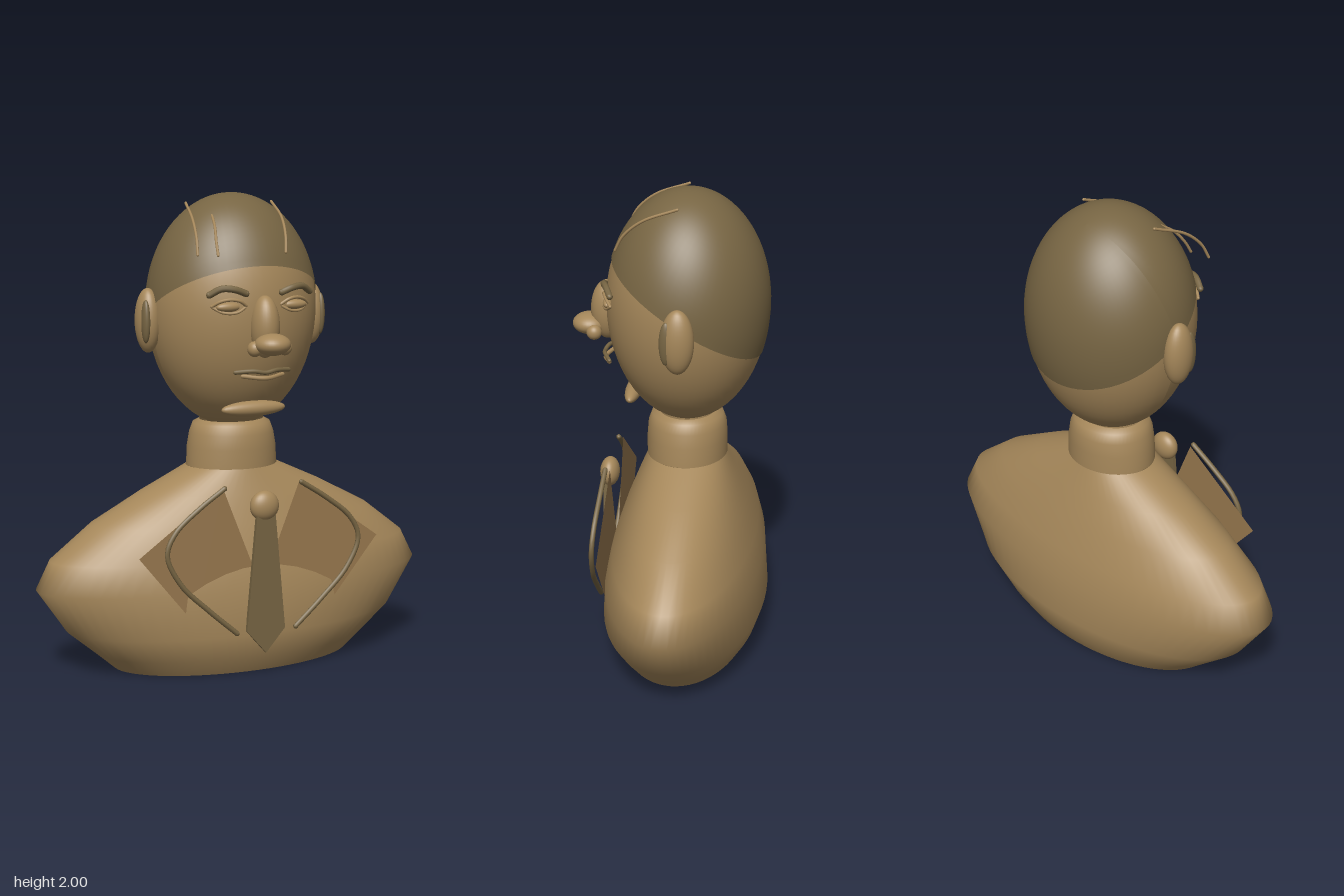
import * as THREE from 'three';
import { mergeVertices } from 'three/addons/utils/BufferGeometryUtils.js';

const CZ = -0.068; // depth of the body's axis

export function createModel() {
  const model = new THREE.Group();
  model.name = 'bust';

  const material = (name, color, side = THREE.FrontSide) => {
    const m = new THREE.MeshStandardMaterial({ color, side });
    m.name = name;
    return m;
  };
  const bronze = material('bronze', 0xa5875a, THREE.DoubleSide);
  const darkBronze = material('dark bronze', 0x776543);
  const lapelBronze = material('lapel bronze', 0x99794f, THREE.DoubleSide);

  const add = (name, geometry, mat) => {
    const mesh = new THREE.Mesh(geometry, mat);
    mesh.name = name;
    model.add(mesh);
    return mesh;
  };
  const ellipsoid = (name, [x, y, z], [rx, ry, rz], mat) => {
    const g = new THREE.SphereGeometry(1, 32, 20);
    g.scale(rx, ry, rz);
    return add(name, g.translate(x, y, z), mat);
  };
  const tube = (name, points, radius, mat) => {
    const v = points.map((p) => new THREE.Vector3(...p));
    const curve = new THREE.CatmullRomCurve3(v);
    add(name, new THREE.TubeGeometry(curve, 32, radius, 8), mat);
    // round ends
    for (const p of v.filter((_, i) => i === 0 || i === v.length - 1)) {
      add(name + 'End', new THREE.SphereGeometry(radius, 8, 6).translate(p.x, p.y, p.z), mat);
    }
  };
  // elliptical loft; each ring is [y, half width, half depth]
  const loft = (name, rings, mat) => {
    const n = rings.length - 1;
    const g = new THREE.CylinderGeometry(1, 1, 1, 64, n, true);
    const p = g.attributes.position;
    for (let i = 0; i < p.count; i++) {
      const [y, w, d] = rings[Math.round((p.getY(i) + 0.5) * n)];
      p.setXYZ(i, p.getX(i) * w, y, p.getZ(i) * d + CZ);
    }
    g.deleteAttribute('uv');
    g.deleteAttribute('normal');
    const merged = mergeVertices(g);
    merged.computeVertexNormals();
    return add(name, merged, mat);
  };
  const plate = (points) => new THREE.Shape(points.map((p) => new THREE.Vector2(...p)));

  // torso, open underneath, and neck
  loft('torso', [
    [0, 0.54, 0.275], [0.07, 0.62, 0.315], [0.18, 0.75, 0.35], [0.37, 0.88, 0.332],
    [0.49, 0.82, 0.302], [0.63, 0.64, 0.255], [0.75, 0.415, 0.207], [0.85, 0.2, 0.165],
  ], bronze);
  loft('neck', [
    [0.85, 0.198, 0.17], [0.93, 0.194, 0.17], [0.99, 0.183, 0.165],
    [1.03, 0.168, 0.15], [1.045, 0.14, 0.12],
  ], bronze);

  // egg-shaped head: longer below the middle than above
  const egg = (g, grow) => {
    const p = g.attributes.position;
    for (let i = 0; i < p.count; i++) {
      const y = p.getY(i);
      p.setXYZ(i, p.getX(i) * 0.363 * grow, 1.525 + y * (y > 0 ? 0.47 : 0.51) * grow,
        p.getZ(i) * 0.338 * grow + CZ);
    }
    g.computeVertexNormals();
    return g;
  };
  add('head', egg(new THREE.SphereGeometry(1, 48, 32), 1), bronze);

  // hair cap, tilted down towards the back
  const cap = new THREE.SphereGeometry(1, 64, 24, 0, Math.PI * 2, 0, Math.PI / 2);
  const hair = add('hair', egg(cap.rotateX(-0.41), 1.012), darkBronze.clone());
  hair.material.side = THREE.DoubleSide;
  hair.material.name = 'hair bronze';

  // loose strands
  const strands = [
    [[-0.215, 1.96, -0.045], [-0.245, 1.9, 0.1], [-0.262, 1.83, 0.18], [-0.272, 1.765, 0.215]],
    [[-0.142, 1.92, 0.055], [-0.16, 1.87, 0.13], [-0.175, 1.81, 0.18], [-0.18, 1.76, 0.21]],
    [[0.175, 1.96, -0.045], [0.155, 1.9, 0.1], [0.135, 1.83, 0.18], [0.12, 1.765, 0.215]],
  ];
  strands.forEach((s) => tube('hairStrand', s, 0.006, bronze));

  // nose and chin
  ellipsoid('noseBridge', [0, 1.47, 0.27], [0.06, 0.128, 0.07], bronze);
  ellipsoid('noseTip', [0, 1.405, 0.345], [0.075, 0.045, 0.073], bronze);
  ellipsoid('chin', [0, 1.117, 0.16], [0.145, 0.033, 0.035], bronze);

  // lips
  tube('upperLip', [[-0.12, 1.285, 0.245], [-0.05, 1.29, 0.275], [0, 1.283, 0.283],
    [0.05, 1.29, 0.275], [0.12, 1.285, 0.245]], 0.009, darkBronze);
  tube('lowerLip', [[-0.09, 1.268, 0.25], [0, 1.259, 0.28], [0.09, 1.268, 0.25]], 0.009, bronze);

  for (const s of [-1, 1]) {
    const side = s > 0 ? 'left' : 'right';
    const mirror = (points) => points.map(([x, y, z]) => [x * s, y, z]);

    // face details
    ellipsoid(side + 'Nostril', [s * 0.067, 1.387, 0.317], [0.03, 0.032, 0.032], bronze);
    ellipsoid(side + 'Eye', [s * 0.147, 1.553, 0.24], [0.055, 0.02, 0.022], bronze);
    tube(side + 'UpperLid', mirror([[0.078, 1.558, 0.258], [0.11, 1.578, 0.265],
      [0.147, 1.584, 0.258], [0.185, 1.576, 0.243], [0.215, 1.556, 0.222]]), 0.007, bronze);
    tube(side + 'LowerLid', mirror([[0.082, 1.55, 0.258], [0.115, 1.533, 0.265],
      [0.147, 1.528, 0.258], [0.18, 1.533, 0.243], [0.212, 1.552, 0.222]]), 0.006, bronze);
    tube(side + 'Eyebrow', mirror([[0.08, 1.607, 0.262], [0.13, 1.625, 0.262],
      [0.18, 1.628, 0.245], [0.225, 1.603, 0.222]]), 0.014, darkBronze);

    // ear with its hollow
    ellipsoid(side + 'Ear', [s * 0.377, 1.478, -0.072], [0.053, 0.135, 0.068], bronze);
    ellipsoid(side + 'EarHollow', [s * 0.402, 1.478, -0.03], [0.019, 0.09, 0.028], darkBronze);

    // lapel and its rolled edge
    const lapel = plate([[0.175, 0.81], [0.545, 0.545], [0.3, 0.243], [0.02, 0.42]]
      .map(([x, y]) => [x * s, y]));
    add(side + 'Lapel', new THREE.ShapeGeometry(lapel).translate(0, 0, 0.24), lapelBronze);
    tube(side + 'LapelEdge', mirror([[0.175, 0.81, 0.26], [0.29, 0.735, 0.265],
      [0.4, 0.643, 0.272], [0.437, 0.555, 0.277], [0.38, 0.43, 0.284],
      [0.26, 0.31, 0.29], [0.135, 0.2, 0.294]]), 0.011, darkBronze);
  }

  // necktie
  const tie = plate([[-0.04, 0.71], [-0.087, 0.2], [0, 0.1], [0.087, 0.2], [0.04, 0.71]]);
  add('tie', new THREE.ExtrudeGeometry(tie, { depth: 0.018, bevelEnabled: false })
    .translate(0, 0, 0.274), darkBronze);
  ellipsoid('tieKnot', [0, 0.725, 0.27], [0.064, 0.064, 0.042], bronze);

  return model;
}
